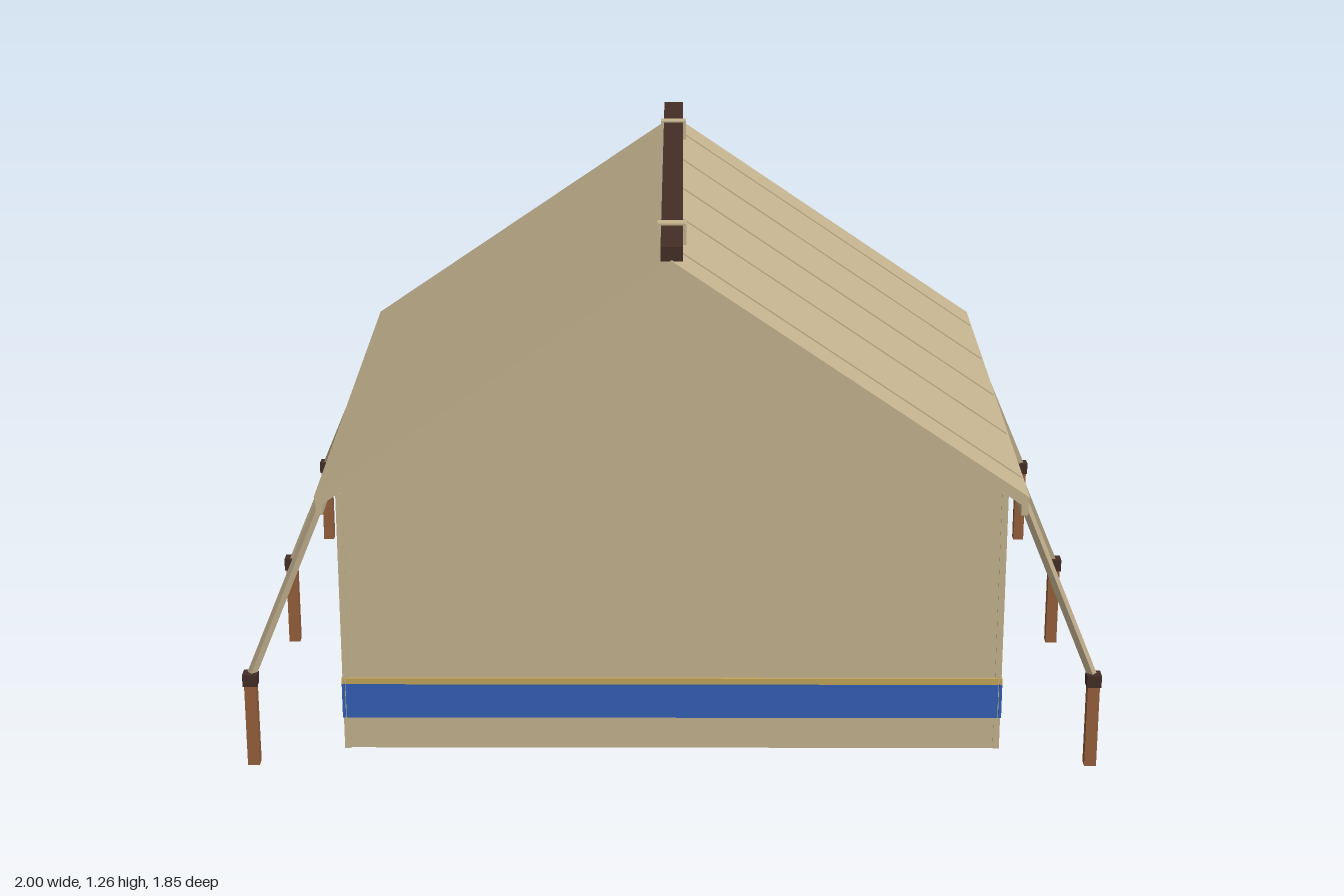
import * as THREE from 'three';

const mat = (name, color) => {
  const m = new THREE.MeshStandardMaterial({ color });
  m.name = name;
  return m;
};

export function createModel() {
  const canvas = mat('canvas', 0xc6b48f);
  const blue = mat('blue band', 0x345fb4);
  const gold = mat('gold trim', 0xc4a75a);
  const wood = mat('wood', 0x96603c);
  const dark = mat('dark wood', 0x452e27);
  const rope = mat('rope', 0xb5a484);

  const root = new THREE.Group();
  root.name = 'tent';

  const add = (name, geo, material) => {
    const m = new THREE.Mesh(geo, material);
    m.name = name;
    root.add(m);
    return m;
  };
  // box given by its min and max on each axis
  const box = (name, material, x0, x1, y0, y1, z0, z1) => {
    const m = add(name, new THREE.BoxGeometry(x1 - x0, y1 - y0, z1 - z0), material);
    m.position.set((x0 + x1) / 2, (y0 + y1) / 2, (z0 + z1) / 2);
    return m;
  };
  // box running from a to b
  const beam = (name, material, a, b, w, h) => {
    const p = new THREE.Vector3(...a), q = new THREE.Vector3(...b);
    const m = add(name, new THREE.BoxGeometry(w, h, p.distanceTo(q)), material);
    m.position.copy(p).add(q).multiplyScalar(0.5);
    m.lookAt(q);
    return m;
  };
  const extrude = (name, points, z0, z1, material) => {
    const shape = new THREE.Shape(points.map(([x, y]) => new THREE.Vector2(x, y)));
    const geo = new THREE.ExtrudeGeometry(shape, { depth: z1 - z0, bevelEnabled: false });
    geo.translate(0, 0, z0);
    return add(name, geo, material);
  };

  // gable walls, the back one with a door opening
  extrude('frontWall', [[-0.77, 0.02], [0.77, 0.02], [0.77, 0.67], [0, 1.2], [-0.77, 0.67]], 0.86, 0.87, canvas);
  extrude('backWall', [[-0.77, 0.02], [-0.21, 0.02], [-0.21, 0.8], [0.21, 0.8], [0.21, 0.02],
    [0.77, 0.02], [0.77, 0.67], [0, 1.2], [-0.77, 0.67]], -0.52, -0.51, canvas);

  // roof: one folded sheet, ridge pole and straps
  extrude('roof', [[0, 1.225], [-0.815, 0.668], [-0.805, 0.645], [0, 1.197], [0.805, 0.645], [0.815, 0.668]],
    -0.57, 0.92, canvas);
  box('ridgePole', dark, -0.025, 0.025, 1.222, 1.255, -0.6, 0.91);
  for (const z of [0.71, -0.36]) {
    box('ridgeStrap', canvas, -0.033, 0.033, 1.21, 1.26, z - 0.015, z + 0.015);
    box('centrePole', wood, -0.015, 0.015, 0, 1.2, z - 0.015, z + 0.015);
  }

  // ground sheet and door mat
  box('floor', canvas, -0.5, 0.5, 0.03, 0.04, -0.27, 0.62);
  box('doorMat', canvas, -0.22, 0.22, 0.012, 0.02, -0.7, -0.51);

  // bands on the front wall and either side of the door
  const bands = (x0, x1, z0, z1) => {
    box('blueBand', blue, x0, x1, 0.1, 0.185, z0, z1);
    box('goldTrim', gold, x0, x1, 0.185, 0.2, z0, z1);
  };
  bands(-0.765, 0.765, 0.868, 0.876);

  for (const s of [-1, 1]) {
    const span = (a, b) => (s > 0 ? [a, b] : [-b, -a]);
    const sideBox = (name, material, a, b, ...rest) => box(name, material, ...span(a, b), ...rest);

    // side wall, bands and seams
    sideBox('sideWall', canvas, 0.76, 0.77, 0.02, 0.67, -0.52, 0.87);
    bands(...span(0.767, 0.774), -0.525, 0.876);
    bands(...span(0.24, 0.765), -0.526, -0.518);
    for (const z of [0.41, -0.055]) sideBox('wallSeam', canvas, 0.767, 0.777, 0.02, 0.65, z - 0.008, z + 0.008);
    sideBox('frontCornerSeam', canvas, 0.757, 0.772, 0.02, 0.66, 0.866, 0.873);
    sideBox('backCornerSeam', canvas, 0.757, 0.772, 0.02, 0.66, -0.523, -0.516);
    sideBox('doorJamb', canvas, 0.2, 0.235, 0.02, 0.8, -0.528, -0.508);
    sideBox('eaveValance', canvas, 0.796, 0.812, 0.625, 0.66, -0.57, 0.92);

    // raised seams down the roof slope
    for (const z of [0.79, 0.48, 0.18, -0.125, -0.43]) {
      beam('roofSeam', canvas, [s * 0.012, 1.217, z], [s * 0.808, 0.673, z], 0.02, 0.006);
    }

    // stakes with caps, and guy ropes to the eaves
    for (const [z, top] of [[0.92, 0.77], [0.18, 0.18], [-0.56, -0.42]]) {
      const zs = z === 0.92 ? 0.91 : z;
      sideBox('stake', wood, 0.967, 0.995, 0, 0.2, zs - 0.014, zs + 0.014);
      sideBox('stakeCap', dark, 0.964, 0.998, 0.2, 0.23, zs - 0.017, zs + 0.017);
      beam('guyRope', rope, [s * 0.98, 0.22, zs], [s * 0.803, 0.645, top], 0.016, 0.016);
    }

    // awning posts and seams
    sideBox('awningPost', wood, 0.4, 0.425, 0, 0.765, -0.875, -0.85);
    beam('awningSeam', canvas, [s * 0.23, 0.913, -0.54], [s * 0.253, 0.768, -0.925], 0.02, 0.006);
  }

  // awning: a sloping sheet that widens outwards
  const sheet = new THREE.BoxGeometry(1, 0.016, 0.395);
  const p = sheet.attributes.position;
  for (let i = 0; i < p.count; i++) {
    const t = p.getZ(i) < 0 ? 1 : 0;
    p.setXYZ(i, Math.sign(p.getX(i)) * (0.425 + 0.037 * t), p.getY(i) + 0.904 - 0.146 * t, -0.53 - 0.395 * t);
  }
  sheet.computeVertexNormals();
  add('awning', sheet, canvas);
  box('awningValance', blue, -0.462, 0.462, 0.67, 0.752, -0.926, -0.918);
  box('awningTrim', gold, -0.462, 0.462, 0.655, 0.67, -0.926, -0.918);
  box('awningRail', dark, -0.44, 0.44, 0.855, 0.885, -0.562, -0.532);

  // rolled door flap above the opening
  box('doorRoll', canvas, -0.26, 0.26, 0.79, 0.84, -0.597, -0.518);

  return root;
}
